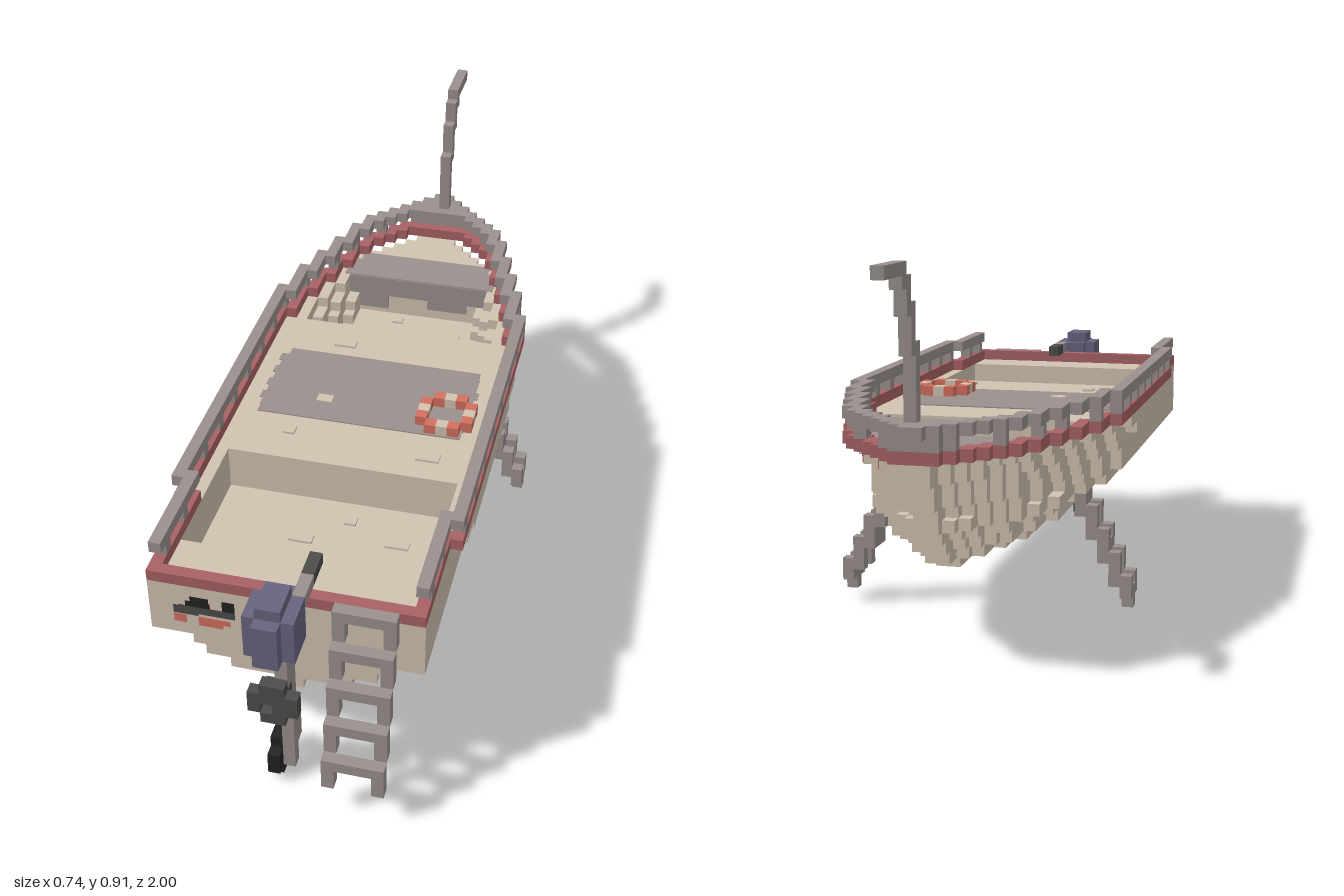
import * as THREE from 'three';
import { mergeGeometries } from 'three/addons/utils/BufferGeometryUtils.js';

const U = 2 / 70; // one block
const mat = (name, color) => Object.assign(new THREE.MeshStandardMaterial({ color }), { name });

// half-width in blocks, counted from the bow
const TAPER = [1, 2, 3, 4, 5, 6, 7, 7, 8, 8, 8, 9, 9, 9, 10, 10, 10, 11, 11, 11, 11, 12];
// hull layers from the keel up: level, half-width, bow end, taper length, stern end, stern narrowing
const LAYERS = [
  [7, 1, -20, 8, 29, 99], [8, 5, -23, 10, 29, 99], [9, 7, -24, 13, 29, 99],
  [10, 8, -25, 17, 29, 99], [11, 10, -26, 21, 29, 99], [12, 11, -26, 23, 30, 99],
  [13, 11, -27, 24, 30, 99], [14, 11, -27, 22, 30, 99], [15, 12, -28, 27, 30, 16],
  [16, 12, -28, 24, 30, 19],
];
const RAIL = [18, 12, -30, 21, 29, 21];

function width([, max, bow, len, , cut], z) {
  const i = Math.min(21, Math.floor(Math.max(0, z - bow) * 21 / len));
  const w = Math.max(1, Math.round(max * TAPER[i] / 12));
  return z >= cut ? Math.min(w, max - 1) : w;
}

// stepped closed outline, counter-clockwise; the plan's y is -z
function outline(half, z0, z1, Type = THREE.Shape) {
  const side = [];
  for (let z = z0; z < z1; z++) {
    const w = half(z);
    side.push([w, z], [w, z + 1]);
  }
  const pts = side.map(([x, z]) => [-x, z]).concat(side.slice().reverse());
  return new Type(pts.map(([x, z]) => new THREE.Vector2(x * U, -z * U)));
}

function block([x0, x1, y0, y1, z0, z1]) {
  return new THREE.BoxGeometry((x1 - x0) * U, (y1 - y0) * U, (z1 - z0) * U)
    .translate((x0 + x1) / 2 * U, (y0 + y1) / 2 * U, (z0 + z1) / 2 * U);
}

export function createModel() {
  const boat = new THREE.Group();
  boat.name = 'boat';
  const tan = mat('tan planking', 0xd2c3b1);
  const grey = mat('weathered grey', 0x9a918e);
  const red = mat('faded red', 0xa86264);
  const blue = mat('motor blue', 0x68647f);
  const dark = mat('dark grey', 0x4c4c4b);
  const black = mat('black', 0x222222);
  const coral = mat('coral', 0xd4705f);

  const add = (name, geo, material) => {
    const m = new THREE.Mesh(geo, material);
    m.name = name;
    boat.add(m);
  };
  const blocks = (name, material, list) => add(name, mergeGeometries(list.map(block)), material);

  // hull: stacked stepped layers with a bow well and a stern cockpit cut from the upper ones
  for (const L of LAYERS) {
    const [y, , bow, , stern] = L;
    const shape = outline(z => width(L, z), bow, stern);
    if (y >= 13) {
      shape.holes.push(outline(() => 10, 13, 25, THREE.Path));
      shape.holes.push(outline(z => Math.min(9, width(L, z) - 1), -17, -8, THREE.Path));
    }
    const geo = new THREE.ExtrudeGeometry(shape, { depth: U, bevelEnabled: false });
    add('hullLayer', geo.rotateX(-Math.PI / 2).translate(0, y * U, 0), tan);
  }

  // band following the rail outline, one block thick along the sides and filled at the bow
  function band(y, z0, z1) {
    const list = [];
    for (let z = z0; z < z1; z++) {
      const w = width(RAIL, z);
      const inner = z < -26 ? 0 : Math.min(w, width(RAIL, z - 1), width(RAIL, z + 1)) - 1;
      list.push([inner, w, y, y + 1, z, z + 1], [-w, -inner, y, y + 1, z, z + 1]);
    }
    return list;
  }
  blocks('redStripe', red, [...band(17, -29, 29), [-11, 11, 17, 18, 29, 30]]);
  blocks('topRail', grey, band(19, -30, 29));
  const posts = [];
  for (let z = -29; z < 29; z += z < -28 ? 1 : z < -27 ? 3 : 4) {
    const w = width(RAIL, z), inner = z < -27 ? 0 : w - 1;
    posts.push([inner, w, 18, 19, z, z + 1], [-w, -inner, 18, 19, z, z + 1]);
  }
  blocks('railPosts', grey, posts);

  // worn patches on the decks and on the bow well wall
  const T = 0.1;
  const patch = [];
  for (let z = -3; z < 7; z++) {
    const e = z === -3 || z === 6 ? 0.4 : 0;
    patch.push([-9.6 + e + (z % 2 ? 0.3 : 0), 9.4 - e - (z % 3 ? 0.3 : 0), 17, 17 + T, z + 0.2, z + 1.2]);
  }
  blocks('deckPatch', grey, patch);
  blocks('bowPatch', grey, [[-6.5, 6.5, 17, 17 + T, -21.3, -20], [-7.5, 7.5, 17, 17 + T, -20, -17],
    [-7, 7, 15, 17, -17, -17 + T], [-6, -3, 13.5, 15, -17, -17 + T], [1, 5, 14, 15, -17, -17 + T]]);

  // small raised plank ends: x, z, level, length
  blocks('plankEnds', tan, [[-1.7, -15.7, 13, 1], [3.4, -13.7, 13, 3], [0, -9.7, 13, 2],
    [-4.2, -4.7, 17, 2], [-3.8, 4.2, 17, 1.4], [-5.6, 9.3, 17, 1], [6.9, 10.3, 17, 2],
    [1.4, 15.3, 13, 1], [5.9, 17.3, 13, 2], [-2.1, 18.3, 13, 2],
  ].map(([x, z, y, l]) => [x - l / 2, x + l / 2, y, y + 0.2, z - 0.5, z + 0.5]));

  // painted marks on the transom and on the side near the bow
  const mark = (x0, x1, y0, y1) => [x0, x1, y0, y1, 30, 30 + T / 2];
  blocks('markBlack', black, [mark(-8, -6, 15, 15.5), mark(-7.6, -6.1, 15.5, 16), mark(-5, -4, 15, 16)]);
  blocks('markDark', dark, [mark(-9, -7, 14.1, 14.9), mark(-8.6, -6.8, 14.9, 15), mark(-7, -4, 14.3, 15)]);
  blocks('markCoral', coral, [mark(-9, -8, 13.2, 14), mark(-7, -5, 13.1, 14), mark(-5, -4.4, 13.5, 14)]);
  blocks('sideMarks', red, [[-22.7, -22], [-22, -20.8], [-20, -19], [-19, -18]].map(([z0, z1]) => {
    const w = width(LAYERS[8], Math.floor(z0));
    return [w, w + T, 15.1, 15.9, z0, z1];
  }));

  // life ring lying on the deck, alternating colours
  const ring = [[], []];
  for (let i = 1; i < 4; i++) {
    for (const [a, b] of [[i, 0], [i, 4], [0, i], [4, i]]) {
      ring[i === 2 ? 1 : 0].push([4.8 + a, 5.8 + a, 17, 18, 2 + b, 3 + b]);
    }
  }
  blocks('lifeRingCoral', coral, ring[0]);
  blocks('lifeRingPale', tan, ring[1]);

  // bow pole stepping up and forward
  blocks('bowPole', grey, [[0, 1, 17, 26, -28, -27], [0, 1, 25, 29, -29, -28],
    [0, 1, 28, 31, -30, -29], [0, 1, 30, 32, -31, -30], [0, 1, 31, 32, -35, -30]]);

  // boarding ladder sloping away from the stern
  const ladder = [];
  for (let i = 0; i < 5; i++) {
    const y = 3 + i * 3, z = 34 - i;
    for (const x of [4, 8]) ladder.push([x, x + 1, y, y + 3, z, z + 1]);
    ladder.push([5, 8, y + 2, y + 3, z, z + 1]);
  }
  blocks('ladder', grey, ladder);

  // outboard motor: head, tiller, shaft, guard and open propeller ring
  blocks('motorHead', blue, [[-2, 2, 15, 19, 31, 34], [-1, 1, 15, 20, 31, 34], [-1, 1, 15, 19, 30, 35]]);
  blocks('tillerGrip', dark, [[1, 2, 18, 19, 26, 28.5]]);
  blocks('tillerArm', grey, [[1, 2, 18, 19, 28.5, 31]]);
  blocks('motorShaft', grey, [[0, 1, 11, 16, 31, 33], [0, 1, 1, 11, 31, 32], [0, 1, 3, 6, 30, 31]]);
  blocks('motorGuard', dark, [[-1, 1, 8, 9, 33, 34], [-2, -1, 9, 11, 33, 34], [1, 2, 9, 11, 33, 34],
    [0, 1, 9, 10, 33, 34], [-1, 1, 11, 12, 33, 34], [-1, 1, 10, 11, 32, 34]]);
  blocks('propeller', black, [[-1, 0, 1, 3, 29, 30], [-1, 0, 1, 3, 32, 33],
    [-1, 0, 0, 1, 30, 32], [-1, 0, 3, 4, 30, 32], [-1, 0, 1, 3, 31, 32]]);

  // splayed oars on both sides: column start, bottom, top
  for (const s of [1, -1]) {
    const oar = [];
    [[12, 1, 4], [11, 3, 6], [10, 5, 8], [9, 7, 10], [8, 9, 11]].forEach(([x, y0, y1], i) => {
      const [x0, x1] = s > 0 ? [x, x + 1] : [-x - 1, -x];
      const b = i === 0 ? 2 : y0;
      oar.push([x0, x1, b, y1, -9, -8], [x0, x1, b, y1, -7, -6]);
      if (i === 0) oar.push([x0, x1, 1, 3, -8, -7]);
      if (i === 2) oar.push([x0, x1, 5, 7, -8, -7]);
      if (i === 4) oar.push([x0, x1, 10, 11, -8, -7]);
    });
    blocks(s > 0 ? 'leftOar' : 'rightOar', grey, oar);
  }
  return boat;
}
